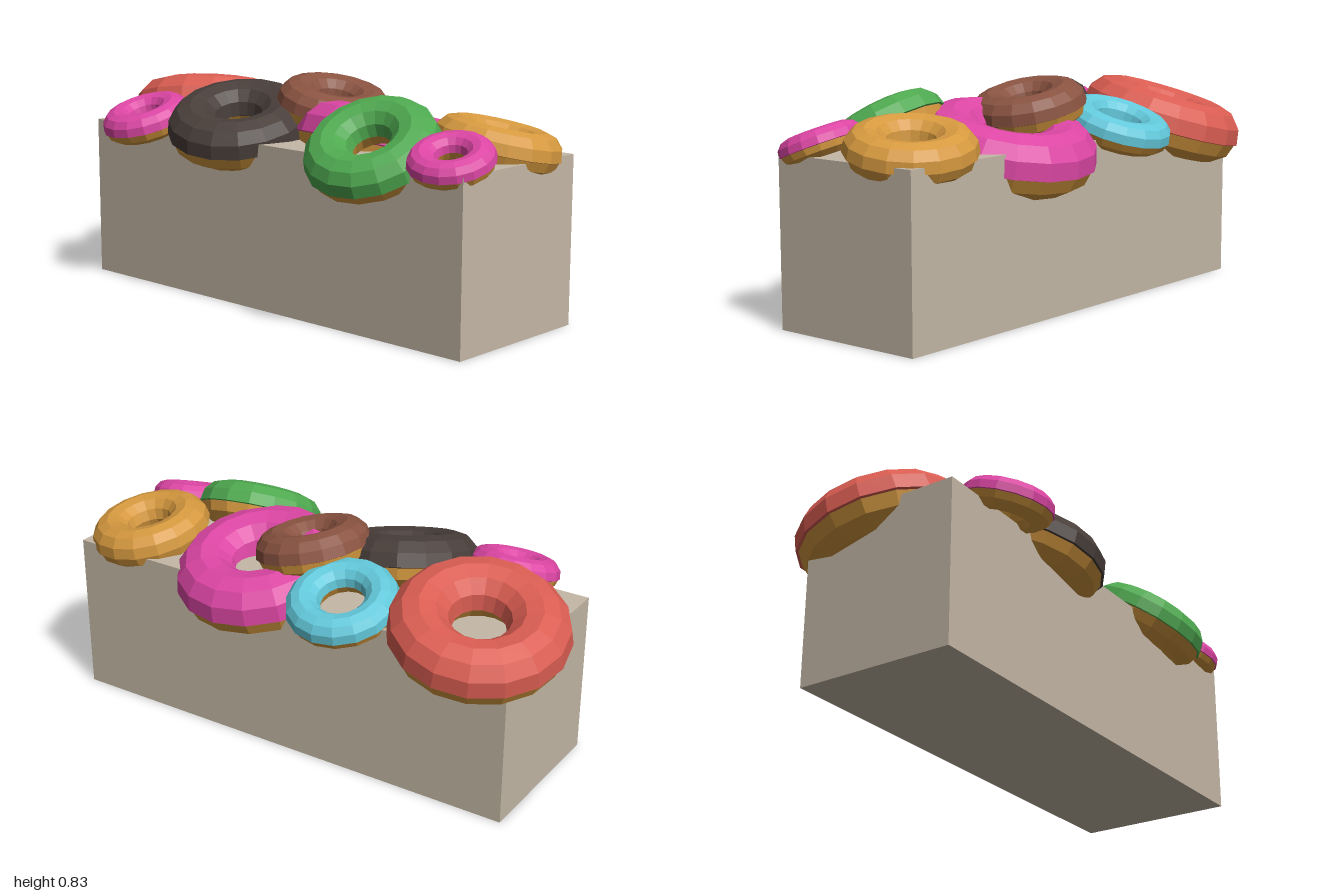
import * as THREE from 'three';

const mat = (name, color, flatShading = true) => {
  const m = new THREE.MeshStandardMaterial({ color, flatShading });
  m.name = name;
  return m;
};

// Closed or open arc of the ring's cross-section, angles in degrees
function arc(ring, tube, from, to, steps) {
  const pts = [];
  for (let i = 0; i <= steps; i++) {
    const t = THREE.MathUtils.degToRad(from + (to - from) * i / steps);
    pts.push(new THREE.Vector2(ring + tube * Math.cos(t), tube * Math.sin(t)));
  }
  return pts;
}

// One donut: dough ring with an icing shell on its upper half
function donut(name, d, dough, icing) {
  const ring = (d.R + d.hole) / 2, tube = (d.R - d.hole) / 2;
  const g = new THREE.Group();
  g.name = name;

  const base = new THREE.Mesh(
    new THREE.LatheGeometry(arc(ring, tube * 0.95, -180, 180, 10), 16), dough);
  base.name = 'dough';

  // Lips at both ends tuck the icing into the dough
  const profile = [
    ...arc(ring, tube * 0.9, -8, -8, 1).slice(0, 1),
    ...arc(ring, tube, -5, 180, 6),
    ...arc(ring, tube * 0.9, 184, 184, 1).slice(0, 1),
  ];
  const top = new THREE.Mesh(new THREE.LatheGeometry(profile, 16), icing);
  top.name = 'icing';
  g.add(base, top);

  // Lean the donut by its slopes along x and z
  g.position.set(...d.pos);
  const [sx, sz] = d.slope;
  g.quaternion.setFromUnitVectors(
    new THREE.Vector3(0, 1, 0), new THREE.Vector3(-sx, 1, -sz).normalize());
  return g;
}

export function createModel() {
  const model = new THREE.Group();
  model.name = 'donutBox';

  const card = mat('cardboard', 0xc4b7a6);
  const dough = mat('dough', 0xd6993f);
  const red = mat('redIcing', 0xda5d52);
  const pink = mat('pinkIcing', 0xdc46a4);
  const green = mat('greenIcing', 0x4fa950);
  const cyan = mat('cyanIcing', 0x62c8da);
  const dark = mat('darkIcing', 0x483e3a);
  const brown = mat('brownIcing', 0x8a5341);

  // Box under the pile
  const box = new THREE.Mesh(new THREE.BoxGeometry(1.845, 0.615, 0.615), card);
  box.name = 'box';
  box.position.set(0.04, 0.3075, -0.0075);
  model.add(box);

  // Donuts: centre, outer radius, hole radius, slopes
  const donuts = [
    ['redDonut', red, { pos: [-0.68, 0.625, -0.145], R: 0.325, hole: 0.095, slope: [0.17, 0.24] }],
    ['cyanDonut', cyan, { pos: [-0.205, 0.65, -0.275], R: 0.207, hole: 0.08, slope: [0.02, 0.34] }],
    ['bigPinkDonut', pink, { pos: [0.25, 0.6, -0.12], R: 0.33, hole: 0.09, slope: [-0.03, 0.24] }],
    ['goldenDonut', dough, { pos: [0.768, 0.645, -0.135], R: 0.232, hole: 0.075, slope: [-0.14, 0.16] }],
    ['darkDonut', dark, { pos: [-0.2, 0.65, 0.175], R: 0.272, hole: 0.075, slope: [-0.17, -0.29] }],
    ['brownDonut', brown, { pos: [0.06, 0.725, -0.065], R: 0.217, hole: 0.06, slope: [-0.24, -0.03] }],
    ['greenDonut', green, { pos: [0.515, 0.645, 0.235], R: 0.245, hole: 0.07, slope: [-0.13, -0.62] }],
    ['leftPinkDonut', pink, { pos: [0.845, 0.645, 0.215], R: 0.153, hole: 0.05, slope: [-0.12, -0.36] }],
    ['rightPinkDonut', pink, { pos: [-0.575, 0.65, 0.31], R: 0.172, hole: 0.053, slope: [0.03, -0.33] }],
  ];
  for (const [name, icing, d] of donuts) model.add(donut(name, d, dough, icing));

  return model;
}
